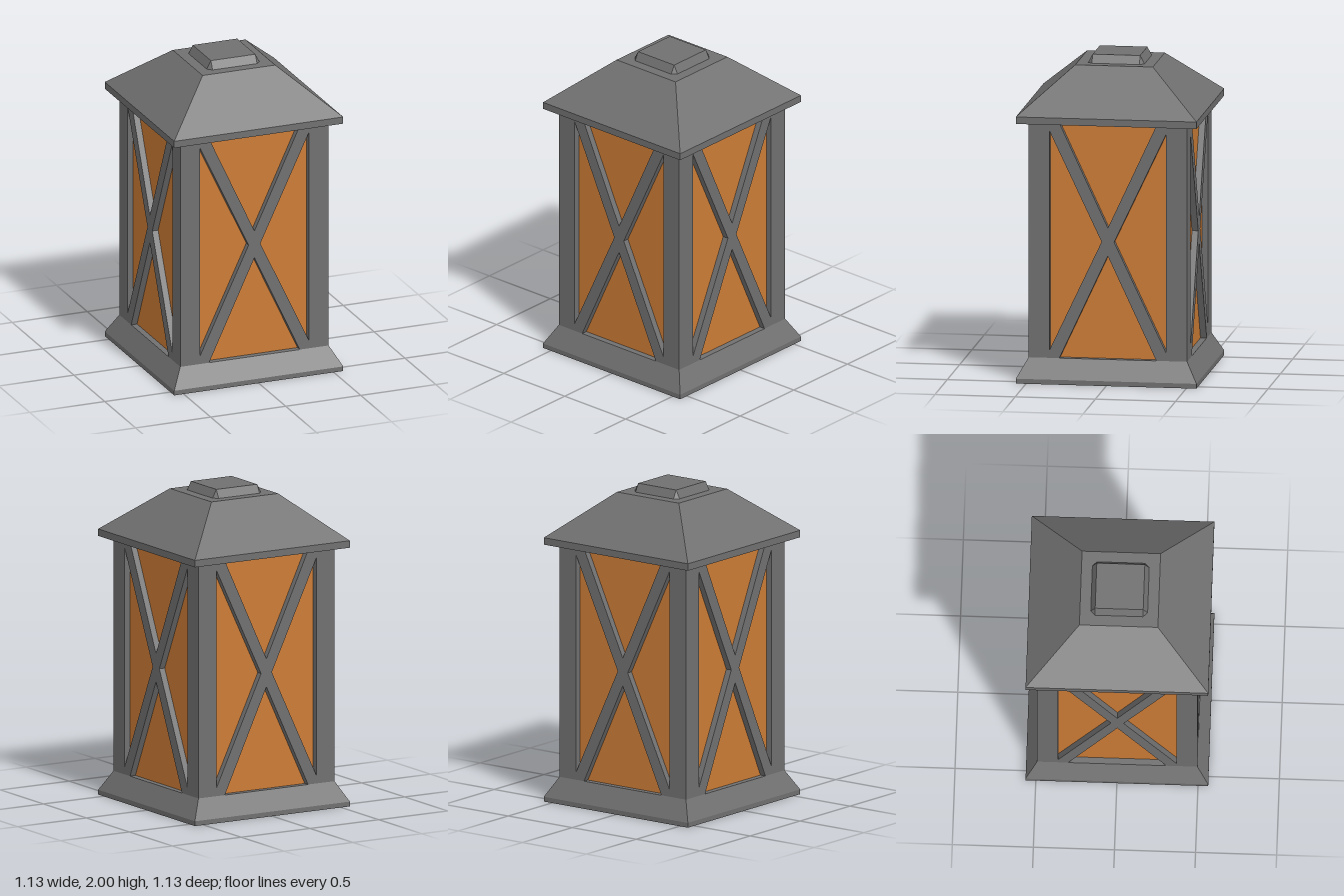
import * as THREE from 'three';
import { ConvexGeometry } from 'three/addons/geometries/ConvexGeometry.js';

const metal = new THREE.MeshStandardMaterial({ color: 0x707070, flatShading: true });
const amber = new THREE.MeshStandardMaterial({ color: 0xcc7c36, flatShading: true });

const WALL = 0.494;   // half width of the lantern body
const DEPTH = 0.04;   // thickness of the frames
const INNER = WALL - DEPTH;

function addMesh(parent, name, geometry, material) {
  const mesh = new THREE.Mesh(geometry, material);
  mesh.name = name;
  parent.add(mesh);
  return mesh;
}

// Square solid from a profile of [half width, height], listed bottom to top
function squareLathe(profile) {
  const points = profile.map(([w, y]) => new THREE.Vector2(w * Math.SQRT2, y));
  const geometry = new THREE.LatheGeometry(points, 4, Math.PI / 4).toNonIndexed();
  geometry.computeVertexNormals();
  return geometry;
}

const polygon = (pairs) => pairs.map(([x, y]) => new THREE.Vector2(x, y));

// One wall: plate with four triangular openings that leave a crossed lattice.
// It stops short on one side so that four walls interlock at the corners.
function wallGeometry() {
  const shape = new THREE.Shape(polygon([[-WALL, 0.12], [INNER, 0.12], [INNER, 1.65], [-WALL, 1.65]]));
  const openings = [
    [[-0.307, 1.638], [0.307, 1.638], [0, 0.978]],
    [[-0.307, 0.144], [0, 0.802], [0.307, 0.144]],
    [[-0.364, 1.577], [-0.039, 0.89], [-0.364, 0.203]],
    [[0.364, 1.577], [0.364, 0.203], [0.039, 0.89]],
  ];
  for (const corners of openings) shape.holes.push(new THREE.Path(polygon(corners)));
  const geometry = new THREE.ExtrudeGeometry(shape, { depth: DEPTH, bevelEnabled: false });
  return geometry.translate(0, 0, INNER);
}

export function createModel() {
  const lantern = new THREE.Group();
  lantern.name = 'lantern';

  // Flared foot
  addMesh(lantern, 'base',
    squareLathe([[0, 0], [0.563, 0], [0.563, 0.03], [WALL, 0.154], [0, 0.154]]), metal);

  // Glowing core behind the lattices
  const glass = new THREE.BoxGeometry(INNER * 2 + 0.002, 1.52, INNER * 2 + 0.002);
  addMesh(lantern, 'glass', glass.translate(0, 0.89, 0), amber);

  // Four identical lattice walls
  const wall = wallGeometry();
  for (let i = 0; i < 4; i++) {
    addMesh(lantern, `latticeWall${i + 1}`, wall, metal).rotation.y = i * Math.PI / 2;
  }

  // Hipped roof with a thin eave
  addMesh(lantern, 'roof',
    squareLathe([[0, 1.628], [0.563, 1.628], [0.563, 1.672], [0.242, 1.948], [0, 1.948]]), metal);

  // Cap: square top, wider foot with cut corners
  const capPoints = [];
  for (const sx of [-1, 1]) {
    for (const sz of [-1, 1]) {
      capPoints.push(
        new THREE.Vector3(sx * 0.148, 2, sz * 0.148),
        new THREE.Vector3(sx * 0.177, 1.945, sz * 0.148),
        new THREE.Vector3(sx * 0.148, 1.945, sz * 0.177));
    }
  }
  addMesh(lantern, 'cap', new ConvexGeometry(capPoints), metal);

  return lantern;
}
